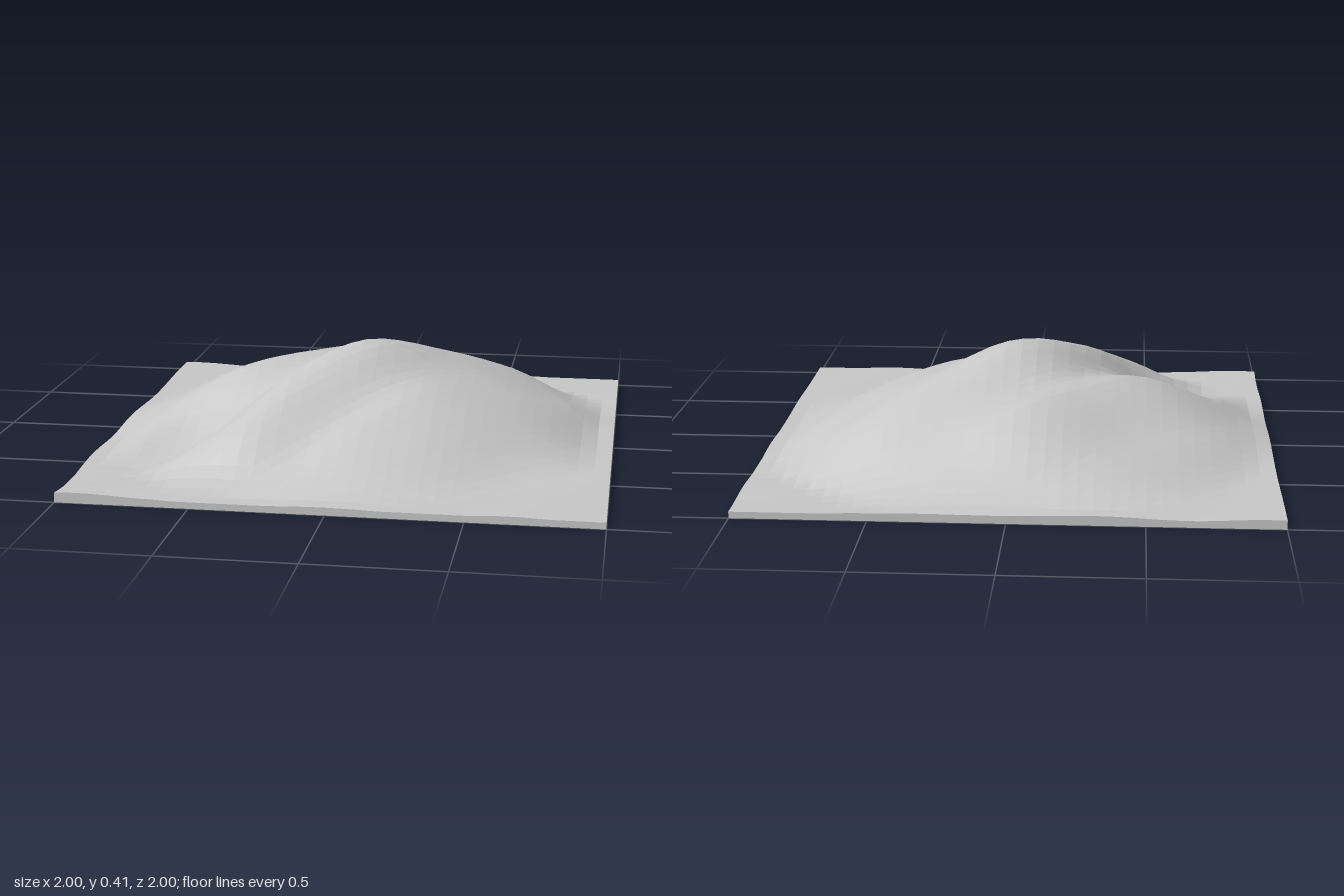
import * as THREE from 'three';

const GROUND = 0.025; // thickness of the slab at its thinnest
const CELLS = 32;

// Cross-sections of the hill, cut square to its diagonal ridges at q = x - z = -1.5 ... 1.5.
// Each is a run of [p = x + z, height]: foot, slope, back crest, hollow, main crest,
// shelf inner edge, shelf outer edge, foot.
const SECTIONS = [
  [[-0.5, 0.035], [-0.4, 0.035], [-0.3, 0.033], [-0.15, 0.025], [0.05, 0.035], [0.3, 0.03], [0.4, 0.03], [0.5, 0.025]],
  [[-1.05, 0.035], [-0.85, 0.065], [-0.58, 0.125], [-0.17, 0.085], [0.13, 0.195], [0.5, 0.085], [0.68, 0.07], [0.95, 0.025]],
  [[-1.38, 0.03], [-1.0, 0.12], [-0.55, 0.268], [-0.2, 0.25], [0.05, 0.342], [0.42, 0.212], [0.62, 0.195], [1.3, 0.025]],
  [[-1.5, 0.03], [-1.0, 0.145], [-0.5, 0.295], [-0.33, 0.31], [0.04, 0.415], [0.35, 0.305], [0.56, 0.272], [1.4, 0.025]],
  [[-1.38, 0.03], [-1.0, 0.125], [-0.52, 0.265], [-0.3, 0.28], [0.08, 0.325], [0.33, 0.28], [0.56, 0.225], [1.38, 0.025]],
  [[-1.0, 0.035], [-0.75, 0.065], [-0.45, 0.13], [-0.2, 0.17], [0.15, 0.2], [0.42, 0.15], [0.6, 0.112], [0.9, 0.028]],
  [[-0.5, 0.025], [-0.4, 0.025], [-0.3, 0.025], [-0.15, 0.025], [0.1, 0.025], [0.3, 0.028], [0.4, 0.028], [0.5, 0.025]],
];

const clamp = THREE.MathUtils.clamp;

function catmull(a, b, c, d, t) {
  return b + 0.5 * t * (c - a + t * (2 * a - 5 * b + 4 * c - d + t * (3 * (b - c) + d - a)));
}

// Blend neighbouring sections into the one at q
function sectionAt(q) {
  const last = SECTIONS.length - 1;
  const s = clamp((q + 1.5) / 0.5, 0, last);
  const i = Math.min(Math.floor(s), last - 1);
  const pick = (k) => SECTIONS[clamp(k, 0, last)];
  return SECTIONS[0].map((_, j) => [0, 1].map((n) => catmull(
    pick(i - 1)[j][n], pick(i)[j][n], pick(i + 1)[j][n], pick(i + 2)[j][n], s - i)));
}

// Smooth curve through the points of a section
function heightOnSection(points, p) {
  const n = points.length - 1;
  if (p <= points[0][0]) return points[0][1];
  if (p >= points[n][0]) return points[n][1];
  let i = 0;
  while (i < n - 1 && p > points[i + 1][0]) i++;
  const slope = (k) => (k <= 0 || k >= n ? 0
    : (points[k + 1][1] - points[k - 1][1]) / (points[k + 1][0] - points[k - 1][0]));
  const w = points[i + 1][0] - points[i][0];
  const t = (p - points[i][0]) / w;
  const t2 = t * t, t3 = t2 * t;
  return points[i][1] * (2 * t3 - 3 * t2 + 1) + points[i + 1][1] * (3 * t2 - 2 * t3)
    + w * (slope(i) * (t3 - 2 * t2 + t) + slope(i + 1) * (t3 - t2));
}

function terrainHeight(x, z) {
  const ripple = 0.005 * Math.sin(9 * (x + z) + 1.2 * Math.sin(2 * (x - z)));
  return Math.max(GROUND, heightOnSection(sectionAt(x - z), x + z) + ripple);
}

export function createModel() {
  const model = new THREE.Group();
  model.name = 'hillTerrain';
  const stone = new THREE.MeshStandardMaterial({ color: 0xc8c8c8, flatShading: true });
  stone.name = 'grey stone';

  // Slab whose top is raised into the hill
  const box = new THREE.BoxGeometry(2, 1, 2, CELLS, 1, CELLS);
  const pos = box.attributes.position;
  for (let i = 0; i < pos.count; i++) {
    pos.setY(i, pos.getY(i) > 0 ? terrainHeight(pos.getX(i), pos.getZ(i)) : 0);
  }
  const geometry = box.toNonIndexed();
  geometry.clearGroups();
  geometry.computeVertexNormals();

  const hill = new THREE.Mesh(geometry, stone);
  hill.name = 'hill';
  model.add(hill);
  return model;
}
